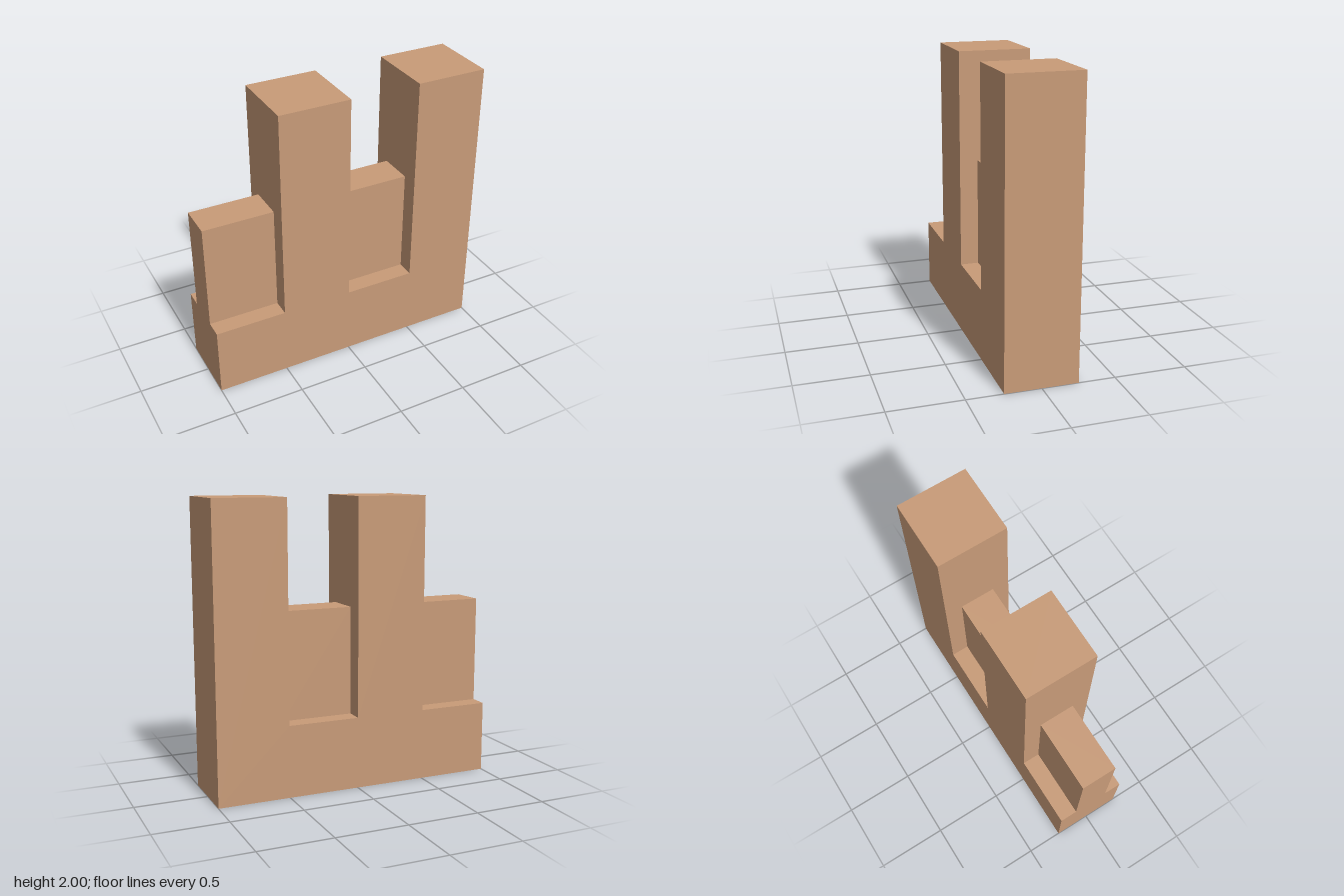
import * as THREE from 'three';

export function createModel() {
  const group = new THREE.Group();
  group.name = 'battlementWall';
  const clay = new THREE.MeshStandardMaterial({ color: 0xc89b78 });
  clay.name = 'clay';

  // Full-depth wall: low base with two tall merlons
  const outline = [
    [-1, 0], [1, 0], [1, 2], [0.5, 2], [0.5, 0.5],
    [0, 0.5], [0, 2], [-0.5, 2], [-0.5, 0.5], [-1, 0.5],
  ].map(([x, y]) => new THREE.Vector2(x, y));
  const wallGeometry = new THREE.ExtrudeGeometry(new THREE.Shape(outline), {
    depth: 0.5,
    bevelEnabled: false,
  });
  wallGeometry.translate(0, 0, -0.25);
  const wall = new THREE.Mesh(wallGeometry, clay);
  wall.name = 'baseAndMerlons';
  group.add(wall);

  // Thin, lower panels standing on the base beside the merlons
  [['rightPanel', -0.75], ['middlePanel', 0.25]].forEach(([name, x]) => {
    const panel = new THREE.Mesh(new THREE.BoxGeometry(0.5, 0.75, 0.25), clay);
    panel.name = name;
    panel.position.set(x, 0.875, 0);
    group.add(panel);
  });

  return group;
}
